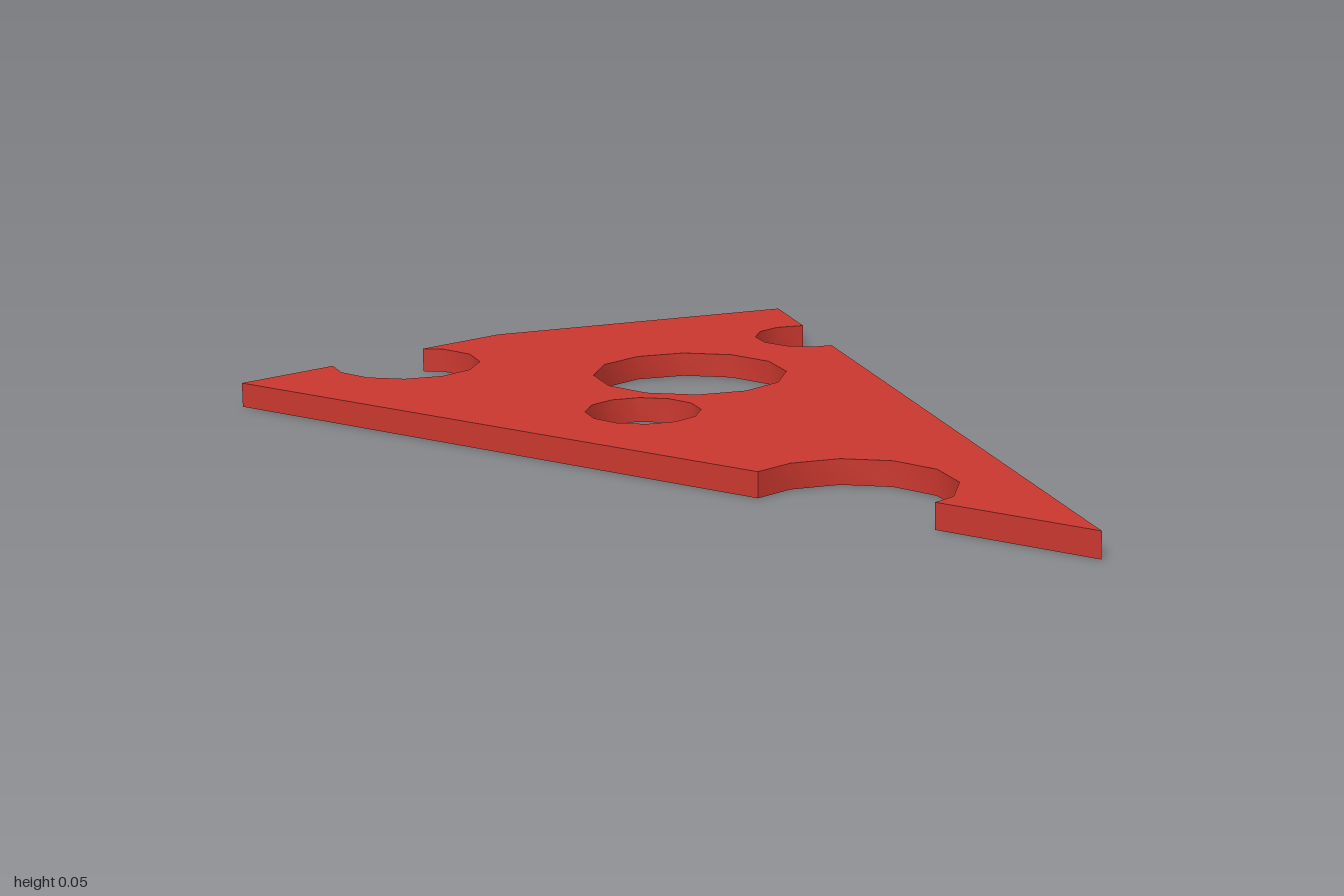
import * as THREE from 'three';
import { toCreasedNormals } from 'three/addons/utils/BufferGeometryUtils.js';

const THICKNESS = 0.05;

// Points of a twelve-sided circle in plan (x, z), every 30 degrees between two angles
function arc(x, z, r, from, to) {
  const points = [];
  const step = from < to ? 30 : -30;
  for (let a = from; step > 0 ? a <= to : a >= to; a += step) {
    const t = THREE.MathUtils.degToRad(a);
    points.push([x + r * Math.cos(t), z + r * Math.sin(t)]);
  }
  return points;
}

// Plan points to shape points: the shape's y becomes -z once laid flat
const toShape = (points) => points.map(([x, z]) => new THREE.Vector2(x, -z));

export function createModel() {
  const group = new THREE.Group();
  group.name = 'cheeseSlice';
  const red = new THREE.MeshStandardMaterial({ color: 0xc8372e });
  red.name = 'red';

  // Wedge outline, interrupted by three round bites
  const outline = new THREE.Shape(toShape([
    [0, 1],
    [0.535, -0.48],
    ...arc(0.55, -0.59, 0.115, 120, 270), // right bite
    [0.61, -0.688],
    [0.68, -0.88],
    [0, -1],
    [-0.21, -0.963],
    ...arc(-0.31, -0.855, 0.155, -30, 180), // rear bite
    [-0.45, -0.92],
    [-0.68, -0.88],
    [-0.24, 0.335],
    ...arc(-0.155, 0.51, 0.192, -90, 60), // left bite
    [-0.112, 0.69],
  ]));

  // Two holes through the slice
  for (const [x, z, r] of [[0.125, -0.424, 0.202], [-0.143, -0.194, 0.115]]) {
    outline.holes.push(new THREE.Path(toShape(arc(x, z, r, 0, 330))));
  }

  const flat = new THREE.ExtrudeGeometry(outline, { depth: THICKNESS, bevelEnabled: false });
  flat.rotateX(-Math.PI / 2);
  const flatNormals = flat.attributes.normal.clone();

  // Smooth the round walls, but keep the shallow rear corner sharp
  const geometry = toCreasedNormals(flat, 0.6);
  const { position, normal } = geometry.attributes;
  for (let i = 0; i < position.count; i++) {
    if (position.getZ(i) < -0.99) {
      normal.setXYZ(i, flatNormals.getX(i), flatNormals.getY(i), flatNormals.getZ(i));
    }
  }

  const slice = new THREE.Mesh(geometry, red);
  slice.name = 'slice';
  group.add(slice);
  return group;
}
